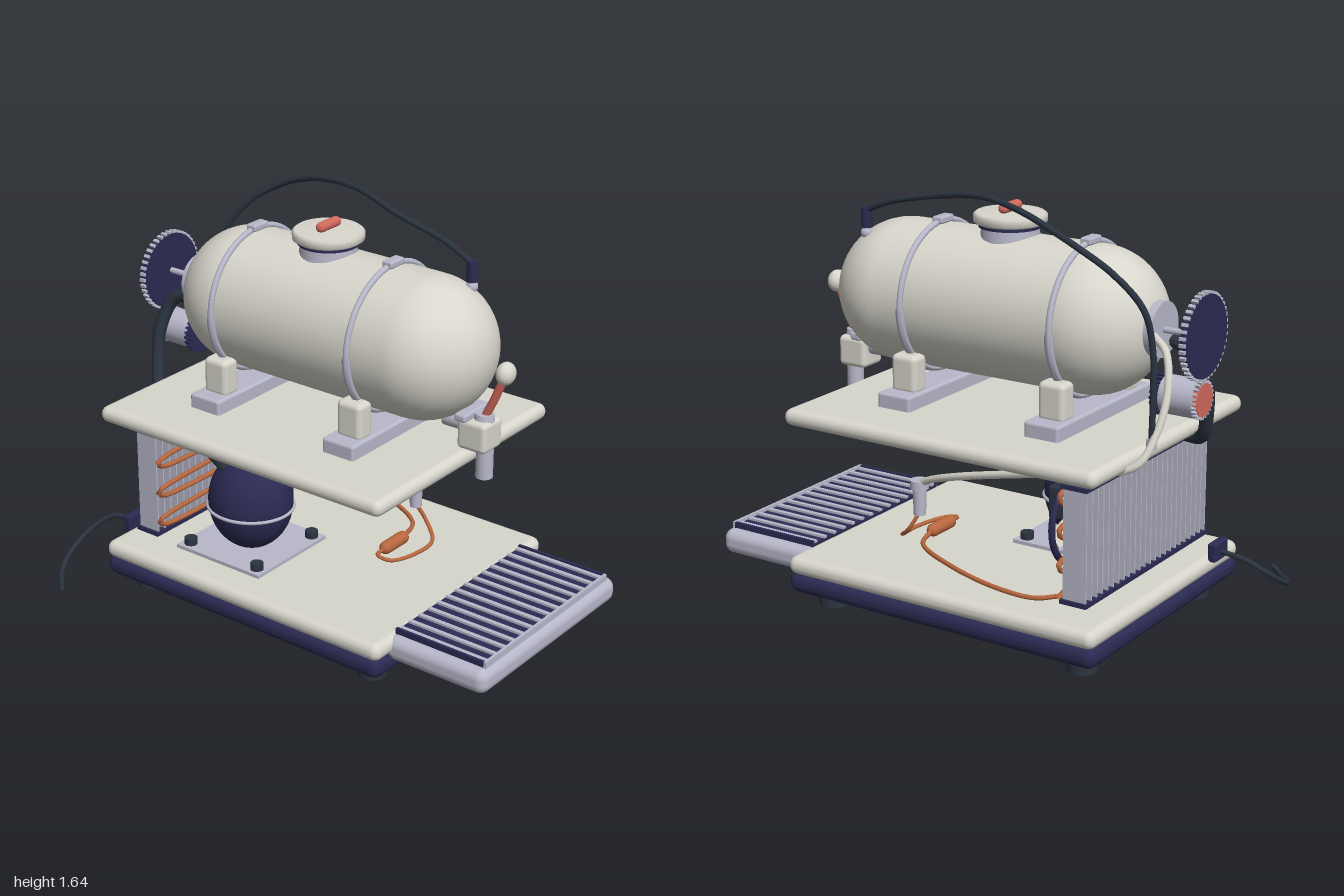
import * as THREE from 'three';
import { RoundedBoxGeometry } from 'three/addons/geometries/RoundedBoxGeometry.js';

const makeMat = (name, color, side = THREE.FrontSide) => {
  const m = new THREE.MeshStandardMaterial({ color, side });
  m.name = name;
  return m;
};

export function createModel() {
  const root = new THREE.Group();
  root.name = 'coolingMachine';
  const cream = makeMat('cream', 0xd8d6cc);
  const steel = makeMat('paleSteel', 0xb8b8cb);
  const navy = makeMat('navy', 0x2b2a52);
  const slate = makeMat('slate', 0x2b3440);
  const red = makeMat('coralRed', 0xd2695c);
  const copper = makeMat('copper', 0xb9683f);
  const CX = 0.1; // symmetry axis of the main body

  // Helpers
  const add = (name, geo, mat, x = 0, y = 0, z = 0, parent = root) => {
    const m = new THREE.Mesh(geo, mat);
    m.name = name;
    m.position.set(x, y, z);
    parent.add(m);
    return m;
  };
  const box = (name, mat, w, h, d, x, y, z) => add(name, new THREE.BoxGeometry(w, h, d), mat, x, y, z);
  const rbox = (name, mat, w, h, d, r, x, y, z) => add(name, new RoundedBoxGeometry(w, h, d, 3, r), mat, x, y, z);
  const cyl = (name, mat, r0, r1, h, x, y, z, seg = 24) =>
    add(name, new THREE.CylinderGeometry(r0, r1, h, seg), mat, x, y, z);
  // Cylinder along z
  const cylZ = (name, mat, r, d, x, y, z, seg = 32) => {
    const m = cyl(name, mat, r, r, d, x, y, z, seg);
    m.rotation.x = Math.PI / 2;
    return m;
  };
  const tube = (name, mat, r, pts, seg = 48, sides = 8) => {
    const curve = new THREE.CatmullRomCurve3(pts.map(p => new THREE.Vector3(...p)));
    return add(name, new THREE.TubeGeometry(curve, seg, r, sides), mat);
  };
  // Ring of small teeth around a disc facing z
  const knurl = (name, mat, r, depth, count, x, y, z) => {
    for (let i = 0; i < count; i++) {
      const a = (i / count) * Math.PI * 2;
      const t = box(name, mat, 0.014, r * Math.PI / count, depth, x + r * Math.cos(a), y + r * Math.sin(a), z);
      t.rotation.z = a;
    }
  };

  // Base, shelf and feet
  rbox('lowerBase', navy, 1.11, 0.08, 1.36, 0.036, CX, 0.105, -0.09);
  rbox('baseDeck', cream, 1.11, 0.072, 1.36, 0.034, CX, 0.175, -0.09);
  rbox('upperShelf', cream, 1.11, 0.066, 1.36, 0.032, CX, 0.768, -0.09);
  for (const x of [-0.32, 0.52]) for (const z of [0.47, -0.65])
    cyl('foot', slate, 0.058, 0.058, 0.08, x, 0.04, z);

  // Drip tray with slatted grille
  rbox('dripTray', steel, 0.92, 0.1, 0.45, 0.04, CX, 0.157, 0.772);
  box('trayWell', navy, 0.83, 0.02, 0.39, CX, 0.207, 0.768);
  for (let i = 0; i < 14; i++)
    box('grilleBar', steel, 0.018, 0.018, 0.385, CX - 0.39 + i * 0.06, 0.217, 0.768);
  box('grilleLip', steel, 0.83, 0.026, 0.012, CX, 0.217, 0.968);
  for (const s of [-1, 1]) box('grilleSide', navy, 0.012, 0.024, 0.39, CX + s * 0.41, 0.218, 0.768);

  // Tank
  const tank = add('tank', new THREE.CapsuleGeometry(0.278, 0.82, 20, 48), cream, CX, 1.175, -0.025);
  tank.rotation.x = Math.PI / 2;

  // Straps and cradles
  for (const z of [0.235, -0.415]) {
    add('strap', new THREE.TorusGeometry(0.285, 0.012, 10, 64), steel, CX, 1.175, z);
    const lower = add('lowerStrap', new THREE.TorusGeometry(0.284, 0.012, 10, 40, Math.PI), steel, CX, 1.175, z);
    lower.rotation.z = Math.PI;
    lower.scale.z = 1.5;
    rbox('buckle', steel, 0.085, 0.028, 0.045, 0.008, CX, 1.467, z);
    rbox('cradleBase', steel, 0.67, 0.07, 0.146, 0.012, CX, 0.824, z);
    for (const s of [-1, 1])
      rbox('cradlePost', cream, 0.084, 0.15, 0.112, 0.022, CX + s * 0.231, 0.92, z);
  }

  // Filler neck, lid and handle
  cyl('fillerNeck', steel, 0.108, 0.115, 0.09, CX, 1.435, -0.068, 40);
  cyl('lidSeal', navy, 0.118, 0.118, 0.014, CX, 1.482, -0.068, 40);
  add('lid', new THREE.LatheGeometry([[0, 1.488], [0.125, 1.488], [0.138, 1.497], [0.138, 1.522], [0.128, 1.53], [0, 1.534]]
    .map(p => new THREE.Vector2(...p)), 40), cream, CX, 0, -0.068);
  const grip = add('lidHandle', new THREE.CapsuleGeometry(0.02, 0.088, 6, 16), red, CX, 1.548, -0.068);
  grip.rotation.z = Math.PI / 2;

  // Vent fitting and long hose over the tank
  add('ventBall', new THREE.SphereGeometry(0.024, 16, 12), steel, 0.215, 1.402, 0.507);
  cyl('ventStem', steel, 0.018, 0.018, 0.05, 0.215, 1.42, 0.507, 16);
  cyl('ventSleeve', navy, 0.021, 0.021, 0.08, 0.215, 1.462, 0.507, 16);
  tube('ventHose', slate, 0.012, [[0.215, 1.49, 0.507], [0.232, 1.54, 0.38], [0.25, 1.59, 0.15], [0.32, 1.625, -0.1],
    [0.38, 1.605, -0.3], [0.42, 1.565, -0.45], [0.43, 1.52, -0.56], [0.41, 1.44, -0.69], [0.37, 1.32, -0.79],
    [0.345, 1.18, -0.815], [0.345, 1.0, -0.82], [0.35, 0.84, -0.82]], 64);
  cyl('hoseEnd', steel, 0.018, 0.018, 0.04, 0.35, 0.835, -0.82, 12);

  // Rear flange and hand wheel
  cylZ('rearFlange', steel, 0.103, 0.07, CX, 1.178, -0.69);
  cylZ('wheelShaft', steel, 0.012, 0.16, CX, 1.178, -0.79, 12);
  cylZ('handWheel', navy, 0.153, 0.026, CX, 1.178, -0.882, 48);
  knurl('wheelTooth', steel, 0.156, 0.024, 40, CX, 1.178, -0.882);

  // Rear drain knob
  cylZ('knobCollar', navy, 0.072, 0.03, CX, 0.943, -0.725);
  knurl('collarTooth', navy, 0.074, 0.03, 24, CX, 0.943, -0.725);
  cylZ('knobBody', steel, 0.072, 0.14, CX, 0.943, -0.805);
  cylZ('knobFace', red, 0.062, 0.022, CX, 0.943, -0.882);
  knurl('knobTooth', steel, 0.066, 0.022, 24, CX, 0.943, -0.88);

  // Front tap
  cylZ('tapPipe', steel, 0.035, 0.12, CX, 0.92, 0.55);
  rbox('tapBody', cream, 0.122, 0.122, 0.127, 0.02, CX, 0.895, 0.638);
  rbox('tapPlate', steel, 0.165, 0.032, 0.05, 0.01, CX, 0.968, 0.602);
  cyl('tapCollar', steel, 0.035, 0.04, 0.03, CX, 0.962, 0.658);
  cyl('tapSpout', steel, 0.033, 0.033, 0.13, CX, 0.785, 0.665);
  tube('tapLever', red, 0.016, [[CX, 0.965, 0.662], [CX, 1.04, 0.697], [CX, 1.13, 0.735]], 8, 12);
  add('tapKnob', new THREE.SphereGeometry(0.044, 24, 16), cream, CX, 1.157, 0.744).scale.set(1, 1, 0.8);

  // Compressor
  add('compressor', new THREE.SphereGeometry(0.2, 40, 28), navy, -0.125, 0.42, -0.28).scale.set(0.82, 1, 0.86);
  const seam = add('compressorSeam', new THREE.TorusGeometry(0.166, 0.007, 8, 48), steel, -0.125, 0.398, -0.28);
  seam.rotation.x = Math.PI / 2;
  seam.scale.y = 1.04;
  rbox('terminalBox', slate, 0.06, 0.13, 0.11, 0.01, 0.05, 0.42, -0.28);
  box('compressorPlate', steel, 0.42, 0.014, 0.42, -0.125, 0.23, -0.28);
  for (const sx of [-1, 1]) for (const sz of [-1, 1])
    cyl('rubberMount', slate, 0.026, 0.026, 0.03, -0.125 + sx * 0.17, 0.25, -0.28 + sz * 0.17, 16);

  // Condenser with thin fins and a serpentine coil
  for (const y of [0.692, 0.258]) box('condenserRail', navy, 0.91, 0.016, 0.11, CX, y, -0.628);
  for (let i = 0; i < 24; i++)
    box('condenserFin', steel, 0.006, 0.42, 0.096, CX - 0.44 + i * 0.0383, 0.475, -0.628);
  const coil = [];
  for (let i = 0; i < 7; i++) {
    const y = 0.665 - i * 0.064, s = i % 2 ? 1 : -1;
    coil.push([CX + s * 0.42, y + 0.014, -0.568], [CX + s * 0.14, y + 0.006, -0.56],
      [CX - s * 0.14, y - 0.004, -0.568], [CX - s * 0.42, y - 0.01, -0.56], [CX - s * 0.45, y - 0.024, -0.565]);
  }
  tube('condenserCoil', copper, 0.01, coil, 260, 8);

  // Fan
  const fan = new THREE.Group();
  fan.name = 'fan';
  fan.position.set(0.32, 0.485, -0.495);
  root.add(fan);
  add('fanRing', new THREE.TorusGeometry(0.163, 0.013, 10, 48), navy, 0, 0, 0, fan);
  const hub = add('fanHub', new THREE.CylinderGeometry(0.042, 0.042, 0.06, 24), navy, 0, 0, 0, fan);
  hub.rotation.x = Math.PI / 2;
  for (let i = 0; i < 5; i++) {
    const arm = new THREE.Group();
    arm.name = 'fanArm';
    arm.rotation.z = (55 + i * 72) * Math.PI / 180;
    fan.add(arm);
    add('fanBlade', new THREE.BoxGeometry(0.125, 0.065, 0.008), cream, 0.09, 0, 0, arm).rotation.x = 0.5;
  }

  // Expansion nozzle, filter and copper lines
  cyl('nozzleBody', steel, 0.027, 0.024, 0.12, 0.325, 0.42, 0.198);
  cyl('nozzleHead', steel, 0.036, 0.036, 0.035, 0.325, 0.482, 0.198);
  const filter = add('filterDrier', new THREE.CapsuleGeometry(0.026, 0.11, 6, 16), copper, 0.17, 0.262, 0.207);
  filter.rotation.z = Math.PI / 2;
  tube('capillaryLine', copper, 0.008, [[0.325, 0.37, 0.198], [0.345, 0.3, 0.235], [0.3, 0.25, 0.3],
    [0.18, 0.245, 0.31], [0.06, 0.25, 0.27], [0.05, 0.26, 0.215], [0.1, 0.262, 0.207]]);
  tube('liquidLine', copper, 0.009, [[0.24, 0.262, 0.207], [0.36, 0.258, 0.16], [0.48, 0.255, -0.05],
    [0.555, 0.25, -0.3], [0.57, 0.255, -0.48], [0.54, 0.27, -0.56]]);
  tube('dischargeLine', copper, 0.01, [[-0.09, 0.58, -0.3], [-0.09, 0.65, -0.34], [-0.15, 0.67, -0.43],
    [-0.25, 0.66, -0.52], [-0.32, 0.675, -0.565]]);

  // Cream outlet hose and thick suction hose
  tube('outletHose', cream, 0.015, [[0.17, 1.17, -0.72], [0.22, 1.13, -0.8], [0.28, 1.0, -0.84], [0.345, 0.87, -0.835],
    [0.41, 0.77, -0.8], [0.44, 0.718, -0.65], [0.44, 0.69, -0.5], [0.42, 0.64, -0.28], [0.38, 0.565, 0],
    [0.335, 0.505, 0.16], [0.325, 0.48, 0.198]], 64);
  tube('suctionHose', slate, 0.026, [[0.04, 1.13, -0.72], [0.03, 1.09, -0.8], [-0.01, 0.97, -0.84], [-0.04, 0.84, -0.83],
    [-0.08, 0.74, -0.79], [-0.14, 0.715, -0.66], [-0.2, 0.68, -0.5], [-0.22, 0.63, -0.4], [-0.19, 0.55, -0.33]], 48, 10);

  // Power cord
  rbox('cordSocket', navy, 0.105, 0.075, 0.035, 0.008, -0.272, 0.228, -0.772);
  tube('powerCord', slate, 0.011, [[-0.272, 0.225, -0.775], [-0.272, 0.21, -0.89], [-0.32, 0.155, -0.965],
    [-0.42, 0.09, -0.988], [-0.53, 0.05, -0.945], [-0.6, 0.04, -0.88], [-0.655, 0.042, -0.825]]);

  return root;
}
